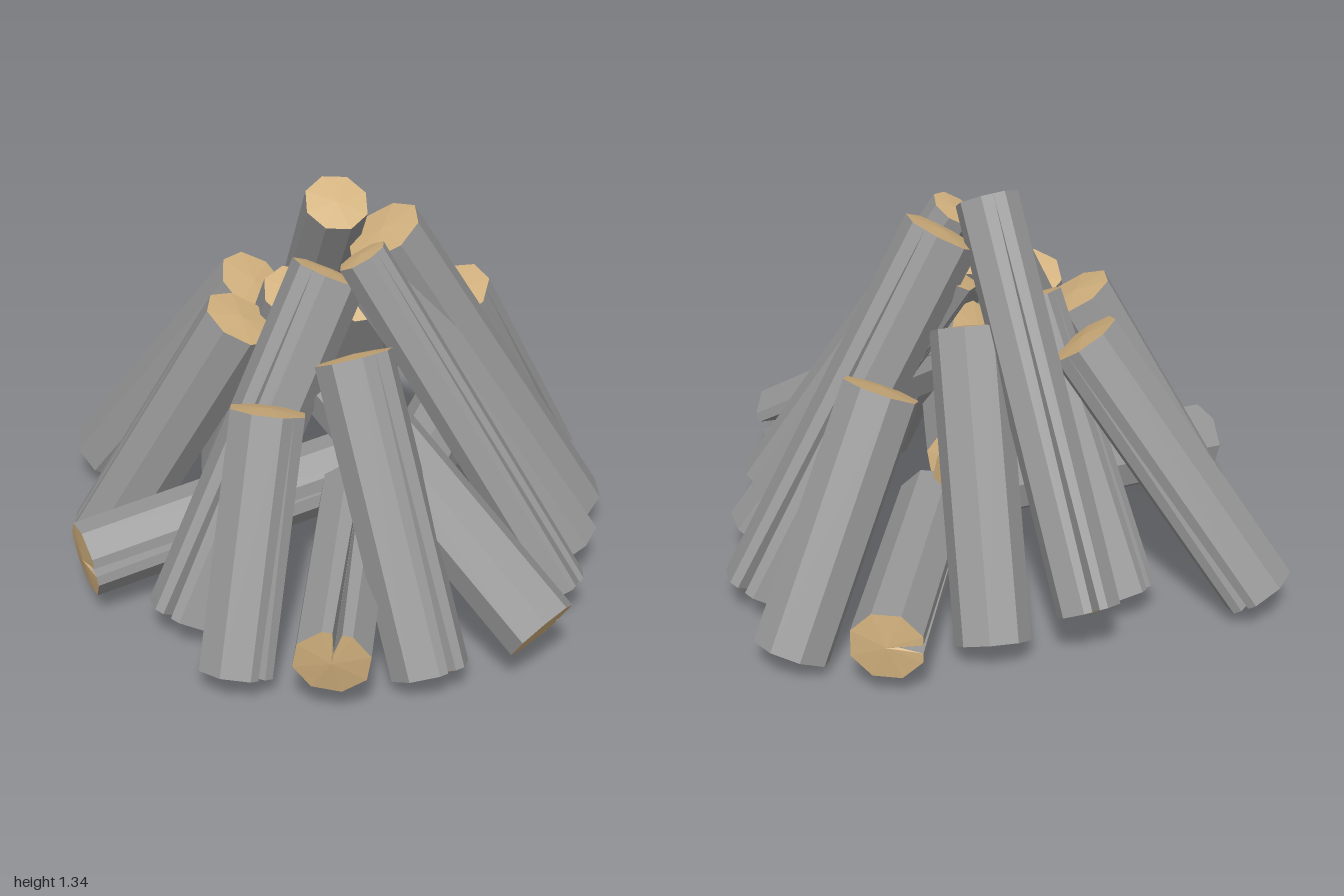
import * as THREE from 'three';

// Eight-sided ring with a radial split of the given half-width and inner radius on its +x side
function logRing(r, gap, inner) {
  const rim = r * Math.cos(Math.PI / 8);
  const pts = [[rim, gap]];
  for (let i = 0; i < 8; i++) {
    const a = (i + 0.5) * Math.PI / 4;
    pts.push([r * Math.cos(a), r * Math.sin(a)]);
  }
  pts.push([rim, -gap], [inner, 0]);
  return pts;
}

// A log along +z: split at the outer end, closing to a plain octagon at the inner end
function logGeometry(r, length) {
  const outer = logRing(r, r * 0.12, r * 0.3).map(([x, y]) => [x, y, 0]);
  const rim = r * Math.cos(Math.PI / 8);
  const inner = logRing(r, r * 0.01, rim).map(([x, y]) => [x, y, length]);
  const dome = r * 0.08;
  const n = outer.length;
  const caps = [], sides = [];
  for (let i = 0; i < n; i++) {
    const j = (i + 1) % n;
    caps.push(...outer[j], ...outer[i], 0, 0, -dome);
    caps.push(...inner[i], ...inner[j], 0, 0, length + dome);
    sides.push(...outer[i], ...outer[j], ...inner[j]);
    sides.push(...outer[i], ...inner[j], ...inner[i]);
  }
  const geo = new THREE.BufferGeometry();
  geo.setAttribute('position', new THREE.Float32BufferAttribute([...caps, ...sides], 3));
  geo.addGroup(0, caps.length / 3, 0);
  geo.addGroup(caps.length / 3, sides.length / 3, 1);
  return geo;
}

export function createModel() {
  const wood = new THREE.MeshStandardMaterial({ color: 0xd2b17e });
  wood.name = 'cutWood';
  const bark = new THREE.MeshStandardMaterial({ color: 0x989898 });
  bark.name = 'greyBark';

  const group = new THREE.Group();
  group.name = 'logPile';

  // A log from its outer end to its inner end, with the split turned toward a direction
  function addLog(name, from, to, r, split) {
    const start = new THREE.Vector3(...from);
    const axis = new THREE.Vector3(...to).sub(start);
    const length = axis.length();
    axis.normalize();
    const side = new THREE.Vector3(...split).projectOnPlane(axis).normalize();
    const other = new THREE.Vector3().crossVectors(axis, side);
    const geo = logGeometry(r, length);
    geo.applyMatrix4(new THREE.Matrix4().makeBasis(side, other, axis).setPosition(start));
    geo.computeVertexNormals();
    const mesh = new THREE.Mesh(geo, [wood, bark]);
    mesh.name = name;
    group.add(mesh);
  }

  // Leaning logs: foot, head, radius, split direction
  const leaning = [
    [[-0.20, 0.105, -0.90], [-0.07, 0.90, -0.32], 0.12, [1, 0, 0]],
    [[0.31, 0.20, -0.57], [-0.07, 1.29, 0.03], 0.10, [0.5, 0.5, -0.5]],
    [[0.11, 0.15, 0.80], [-0.14, 1.19, 0.19], 0.08, [0, 0, 1]],
    [[0.35, 0.12, 0.64], [0.00, 1.06, 0.13], 0.115, [0, -1, -1]],
    [[0.59, 0.08, 0.47], [0.03, 1.19, 0.13], 0.125, [1, 0.3, 0]],
    [[0.81, 0.07, 0.19], [0.41, 0.82, 0.11], 0.125, [0, 1, 1]],
    [[-0.81, 0.08, 0.27], [-0.52, 0.81, 0.15], 0.12, [0, 0.3, 1]],
    [[-0.43, 0.08, 0.71], [-0.27, 0.93, 0.27], 0.122, [-0.2, 0.3, 1]],
    [[0.46, 0.08, -0.32], [0.09, 0.92, 0.0], 0.12, [-0.5, -0.3, -0.6]],
    [[-0.53, 0.06, -0.58], [-0.30, 0.92, -0.16], 0.12, [-0.5, 0.5, -0.6]],
    [[-0.71, 0.09, -0.04], [-0.14, 1.09, 0.06], 0.12, [-0.3, 1, 0.2]],
    [[0.02, 0.09, -0.53], [-0.12, 0.96, -0.09], 0.11, [0, 0, -1]],
  ];
  leaning.forEach((l, i) => addLog('leaningLog' + (i + 1), ...l));

  // Low logs lying across the inside of the pile
  const lying = [
    [[-0.18, 0.20, 0.935], [-0.18, 0.74, 0.13], 0.12, [1, 0.2, 0]],
    [[-0.74, 0.23, 0.59], [-0.10, 0.32, 0.14], 0.12, [0, 1, 0.2]],
    [[0.79, 0.20, -0.15], [0.01, 0.20, 0.18], 0.12, [0.2, 0, -1]],
    [[-0.81, 0.20, -0.37], [0.09, 0.33, 0.06], 0.12, [0, 0.2, 1]],
  ];
  lying.forEach((l, i) => addLog('lyingLog' + (i + 1), ...l));

  return group;
}
